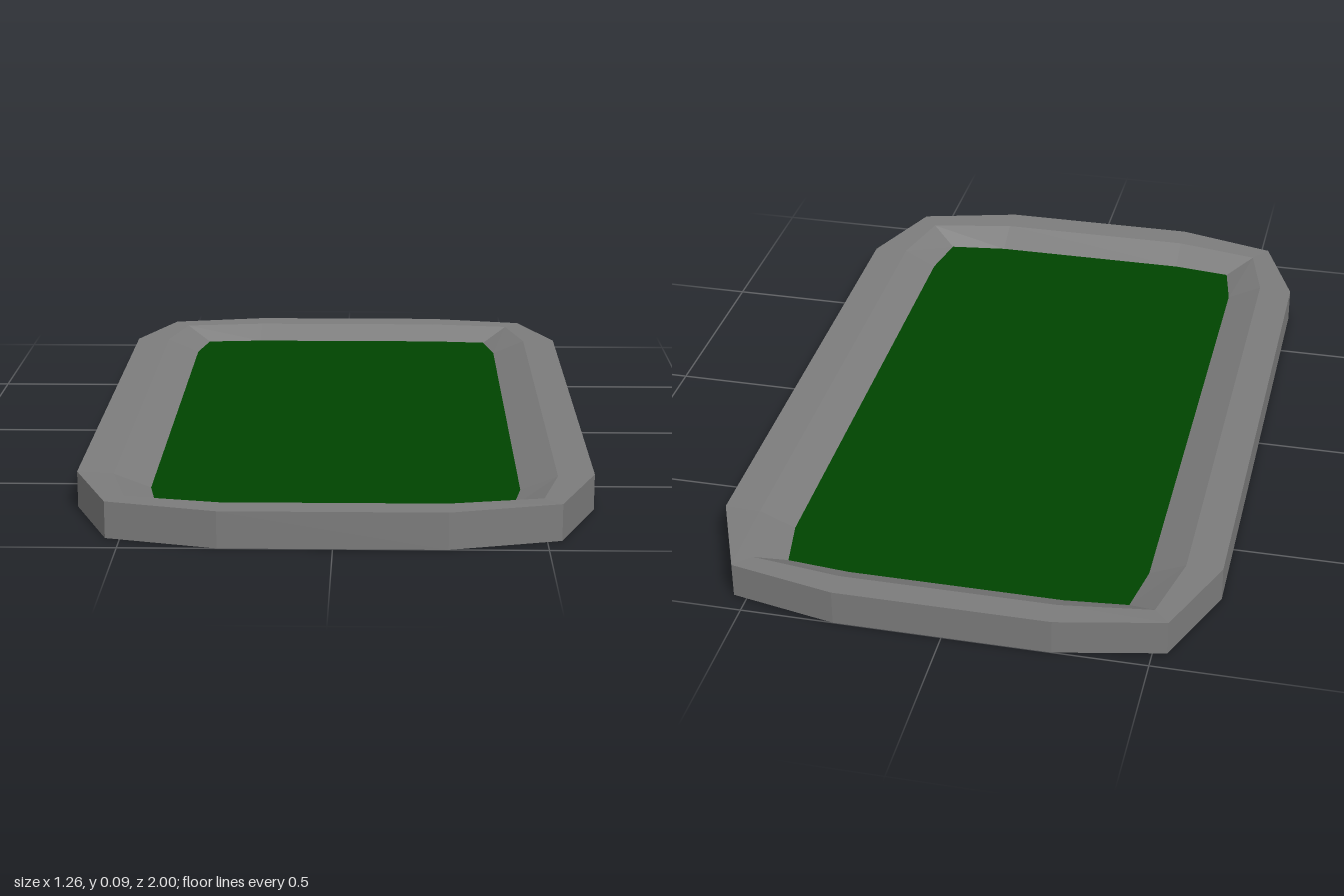
import * as THREE from 'three';

// Twelve-sided outline from [x, z] points of the front and back quadrants, mirrored in x
function outline(front, back, y) {
  const mirror = (pts) => pts.map(([x, z]) => [-x, z]);
  const loop = [
    ...front,
    ...mirror(front).reverse(),
    ...mirror(back).reverse(),
    ...back,
  ];
  return loop.map(([x, z]) => new THREE.Vector3(x, y, z));
}

function meshFrom(name, points, color) {
  const geometry = new THREE.BufferGeometry().setFromPoints(points);
  geometry.computeVertexNormals();
  const mesh = new THREE.Mesh(geometry, new THREE.MeshStandardMaterial({ color, flatShading: true }));
  mesh.name = name;
  return mesh;
}

// Band of quads between two outlines
function band(lower, upper) {
  return lower.flatMap((a, i) => {
    const j = (i + 1) % lower.length;
    return [a, upper[i], upper[j], a, upper[j], lower[j]];
  });
}

// Flat fan closing an outline, facing up or down
function cap(loop, up) {
  const center = new THREE.Vector3(0, loop[0].y, 0);
  return loop.flatMap((p, i) => {
    const q = loop[(i + 1) % loop.length];
    return up ? [center, q, p] : [center, p, q];
  });
}

export function createModel() {
  const group = new THREE.Group();
  group.name = 'tray';

  const outerFront = [[0.63, 0.69], [0.535, 0.93], [0.268, 1]];
  const outerBack = [[0.268, -1], [0.535, -0.945], [0.63, -0.71]];
  const innerFront = [[0.54, 0.7], [0.495, 0.88], [0.268, 0.925]];
  const innerBack = [[0.268, -0.93], [0.495, -0.9], [0.54, -0.71]];
  const floorFront = [[0.45, 0.69], [0.425, 0.825], [0.268, 0.845]];
  const floorBack = [[0.268, -0.86], [0.425, -0.845], [0.45, -0.71]];

  const base = outline(outerFront, outerBack, 0);
  const rim = outline(outerFront, outerBack, 0.09);
  const lip = outline(innerFront, innerBack, 0.088);
  const bed = outline(floorFront, floorBack, 0.05);

  // Underside, outer wall, rim and sloping inner wall in dark grey
  group.add(meshFrom('frame', [
    ...cap(base, false), ...band(base, rim), ...band(rim, lip), ...band(lip, bed),
  ], 0x7c7c7c));

  // Recessed green bed
  group.add(meshFrom('bed', cap(bed, true), 0x004400));

  return group;
}
